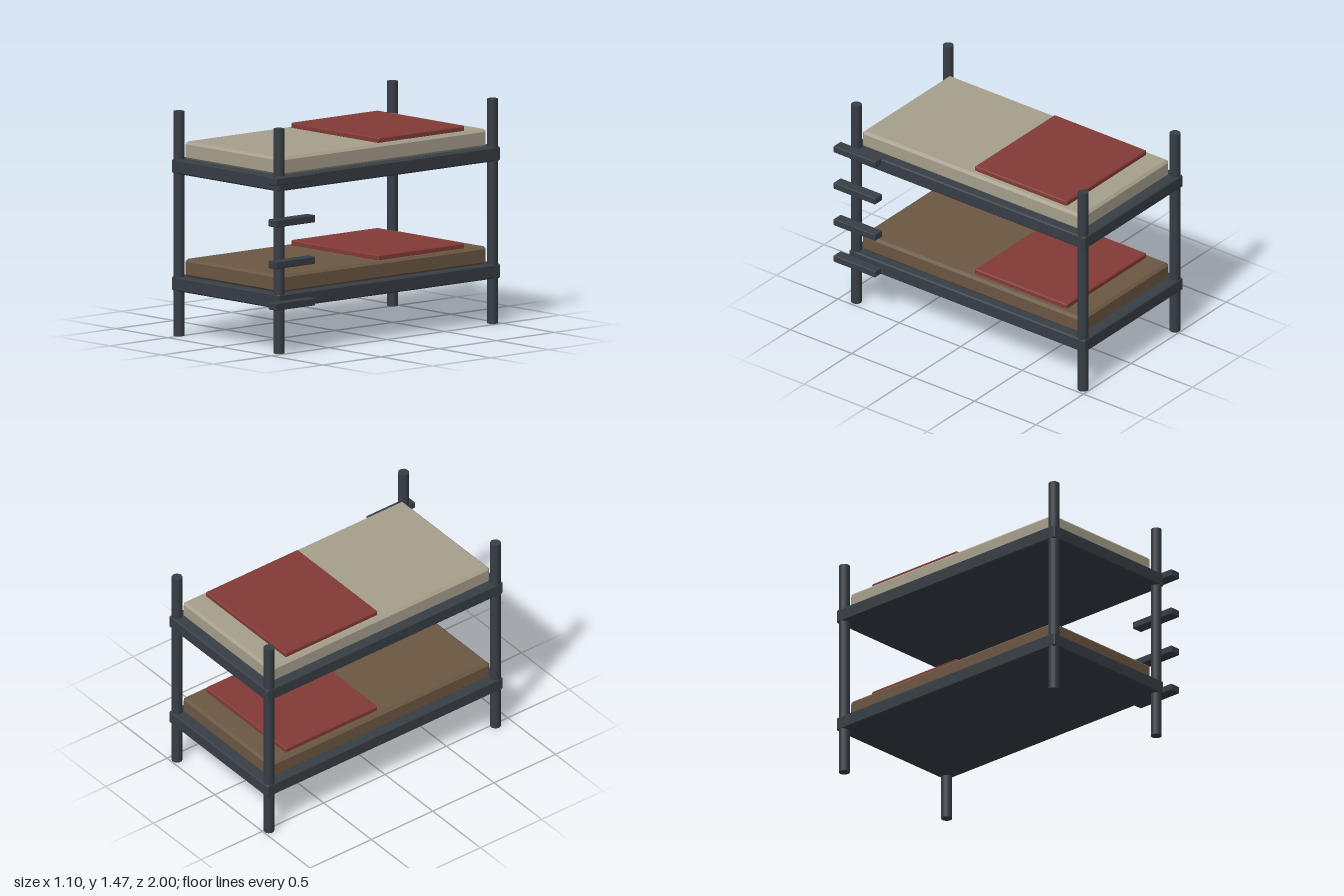
import * as THREE from 'three';
import { ConvexGeometry } from 'three/addons/geometries/ConvexGeometry.js';

function makeMaterial(name, color) {
  const m = new THREE.MeshStandardMaterial({ color });
  m.name = name;
  return m;
}

// Box between two corners with every edge chamfered by c
function chamferBox(min, max, c) {
  const pts = [];
  for (let i = 0; i < 8; i++) {
    const s = [i & 1, (i >> 1) & 1, (i >> 2) & 1];
    for (let full = 0; full < 3; full++) {
      const p = s.map((side, a) => {
        const inset = a === full ? 0 : c;
        return side ? max[a] - inset : min[a] + inset;
      });
      pts.push(new THREE.Vector3(...p));
    }
  }
  return new ConvexGeometry(pts);
}

export function createModel() {
  const group = new THREE.Group();
  group.name = 'bunkBed';
  const metal = makeMaterial('dark metal', 0x373e45);
  const cream = makeMaterial('cream fabric', 0xa69f8c);
  const brown = makeMaterial('brown fabric', 0x6b5743);
  const red = makeMaterial('red cloth', 0x833a36);

  const add = (name, geometry, material) => {
    const mesh = new THREE.Mesh(geometry, material);
    mesh.name = name;
    group.add(mesh);
    return mesh;
  };

  // Four round corner posts
  const postGeometry = new THREE.CylinderGeometry(0.035, 0.035, 1.465, 16);
  for (const [x, sideName] of [[-0.515, 'Right'], [0.45, 'Left']]) {
    for (const [z, endName] of [[0.888, 'front'], [-0.958, 'back']]) {
      add(`${endName}${sideName}Post`, postGeometry, metal).position.set(x, 0.7325, z);
    }
  }

  // Two bunks: frame, mattress and folded blanket
  for (const [name, y, fabric] of [['lower', 0.295, brown], ['upper', 1.06, cream]]) {
    add(`${name}Frame`, chamferBox([-0.55, y, -0.997], [0.485, y + 0.092, 0.923], 0.008), metal);
    add(`${name}Mattress`, chamferBox([-0.495, y + 0.088, -0.932], [0.43, y + 0.206, 0.863], 0.017), fabric);
    add(`${name}Blanket`, chamferBox([-0.455, y + 0.2, -0.775], [0.387, y + 0.239, -0.025], 0.007), red);
  }

  // Ladder steps beside the front left post
  for (let i = 0; i < 4; i++) {
    const y = 0.299 + i * 0.271;
    add(`step${i + 1}`, chamferBox([0.472, y, 0.66], [0.548, y + 0.047, 1], 0.004), metal);
  }

  return group;
}
